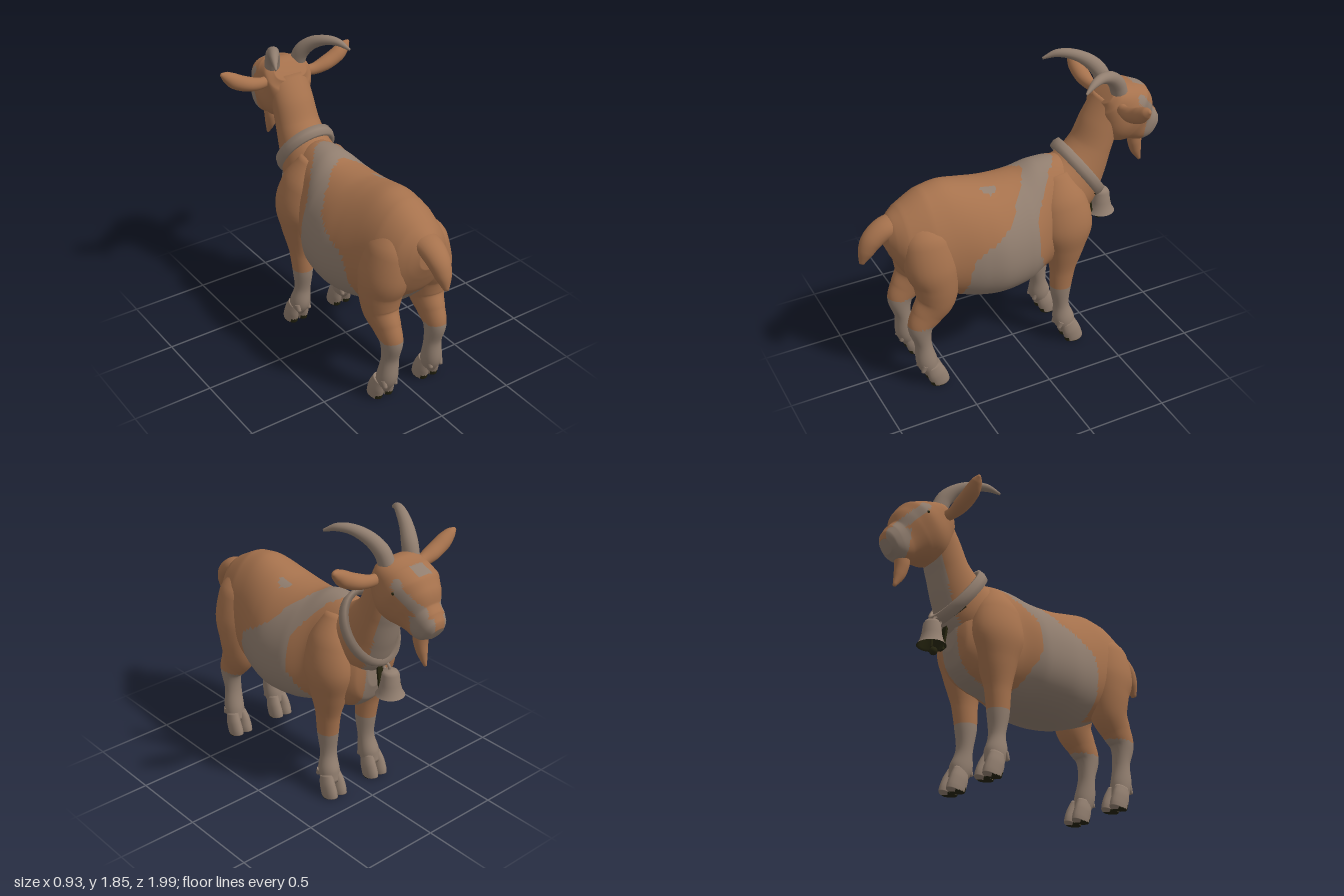
import * as THREE from 'three';

const mat = (name, color) => {
  const m = new THREE.MeshStandardMaterial({ color });
  m.name = name;
  return m;
};

// Piecewise linear lookup in [[key, value], ...]
function lookup(table, k) {
  if (k <= table[0][0]) return table[0][1];
  for (let i = 1; i < table.length; i++) {
    const [a, va] = table[i - 1], [b, vb] = table[i];
    if (k <= b) return va + (vb - va) * (k - a) / (b - a);
  }
  return table[table.length - 1][1];
}

// Distance in the (z, y) plane from p to the segment a-b
function segDist(p, az, ay, bz, by) {
  const dz = bz - az, dy = by - ay;
  const t = Math.min(1, Math.max(0, ((p.z - az) * dz + (p.y - ay) * dy) / (dz * dz + dy * dy)));
  return Math.hypot(p.z - az - t * dz, p.y - ay - t * dy);
}

// Smooth closed skin through stations [x, y, z, lateral radius, other radius].
// pick(centroid) returns the material index of each face, egg widens one half of
// the section, power below 1 squares it off, axis keeps all sections parallel.
function loft(name, stations, materials, { pick = () => 0, sides = 24, steps = 6, egg = 0, power = 1, axis = null, side = new THREE.Vector3(1, 0, 0) } = {}) {
  const path = new THREE.CatmullRomCurve3(stations.map(s => new THREE.Vector3(s[0], s[1], s[2])));
  const radii = new THREE.CatmullRomCurve3(stations.map(s => new THREE.Vector3(s[3], s[4], 0)));
  const n = (stations.length - 1) * steps;
  const pos = [], idx = materials.map(() => []);
  const soft = v => Math.sign(v) * Math.abs(v) ** power;
  for (let i = -1; i <= n + 1; i++) {
    const t = Math.min(1, Math.max(0, i / n));
    const c = path.getPoint(t), r = radii.getPoint(t);
    if (i < 0 || i > n) r.set(0, 0, 0);
    const T = axis || path.getTangent(t);
    const X = side.clone().addScaledVector(T, -side.dot(T)).normalize();
    const N = new THREE.Vector3().crossVectors(T, X);
    for (let j = 0; j < sides; j++) {
      const a = j / sides * Math.PI * 2;
      const u = soft(Math.cos(a)) * (1 + egg * Math.sin(a)), v = soft(Math.sin(a));
      const p = c.clone().addScaledVector(X, u * r.x).addScaledVector(N, v * r.y);
      pos.push(p.x, Math.max(0, p.y), p.z);
    }
  }
  const at = k => new THREE.Vector3().fromArray(pos, k * 3);
  const face = (a, b, c) => {
    const mid = at(a).add(at(b)).add(at(c)).divideScalar(3);
    idx[pick(mid)].push(a, b, c);
  };
  for (let i = 0; i < n + 2; i++) {
    for (let j = 0; j < sides; j++) {
      const a = i * sides + j, b = i * sides + (j + 1) % sides;
      face(a, b, a + sides);
      face(b, b + sides, a + sides);
    }
  }
  const g = new THREE.BufferGeometry();
  g.setAttribute('position', new THREE.Float32BufferAttribute(pos, 3));
  g.setIndex(idx.flat());
  let start = 0;
  idx.forEach((list, m) => { g.addGroup(start, list.length, m); start += list.length; });
  g.computeVertexNormals();
  const mesh = new THREE.Mesh(g, materials);
  mesh.name = name;
  return mesh;
}

export function createModel() {
  const model = new THREE.Group();
  model.name = 'goat';
  const brown = mat('brown coat', 0xa6724d);
  const grey = mat('taupe grey', 0x917e6f);
  const dark = mat('dark', 0x25240f);
  const coat = [brown, grey];

  // Flank patch limits: z of the front and rear edge by height
  const patchFront = [[0.5, -0.17], [0.62, -0.12], [0.8, -0.04], [0.95, -0.03], [1.05, -0.05], [1.15, -0.12], [1.24, -0.19], [1.29, -0.28]];
  const patchRear = [[0.5, 0.45], [0.8, 0.41], [0.9, 0.38], [0.98, 0.24], [1.05, 0.14], [1.15, 0.07], [1.24, -0.03], [1.29, -0.12]];
  const bodyPick = p => {
    const patch = p.z > lookup(patchFront, p.y) && p.z < lookup(patchRear, p.y);
    const chest = p.z < -0.15 && Math.abs(p.x) < 0.075 && p.y < 1.1;
    const groin = p.z > 0.4 && Math.abs(p.x) < 0.07 && p.y < 0.73;
    const spot = p.y > 1.1 && Math.hypot(p.x - 0.1, (p.z - 0.21) * 0.6) < 0.03;
    return patch || chest || groin || spot ? 1 : 0;
  };

  // Trunk: z, top, bottom, half width
  const trunk = [
    [0.835, 1.12, 0.95, 0.07], [0.8, 1.16, 0.87, 0.125], [0.74, 1.205, 0.76, 0.19], [0.6, 1.28, 0.61, 0.245],
    [0.47, 1.3, 0.55, 0.265], [0.32, 1.27, 0.505, 0.305], [0.18, 1.24, 0.495, 0.33], [0, 1.24, 0.51, 0.31],
    [-0.14, 1.28, 0.545, 0.245], [-0.3, 1.27, 0.58, 0.215], [-0.4, 1.19, 0.62, 0.18], [-0.47, 1.1, 0.69, 0.13], [-0.505, 1.03, 0.79, 0.06],
  ].map(([z, top, bot, w]) => [0, (top + bot) / 2, z, w, (top - bot) / 2]);
  model.add(loft('trunk', trunk, coat, { pick: bodyPick, sides: 72, steps: 8, egg: 0.17, power: 0.95, axis: new THREE.Vector3(0, 0, -1) }));

  // Neck with pale throat
  model.add(loft('neck', [
    [0, 0.98, -0.26, 0.19, 0.22], [0, 1.07, -0.37, 0.18, 0.22], [0, 1.17, -0.455, 0.155, 0.175],
    [0, 1.3, -0.53, 0.14, 0.13], [0, 1.43, -0.58, 0.135, 0.115], [0, 1.58, -0.645, 0.13, 0.085],
  ], coat, {
    sides: 48, steps: 8,
    pick: p => Math.abs(p.x) < 0.1 && p.z < -0.47 - (p.y - 1) * 0.4 ? 1 : 0,
  }));

  // Head, running from the poll down to the muzzle
  model.add(loft('head', [
    [0, 1.63, -0.595, 0.11, 0.06], [0, 1.605, -0.625, 0.155, 0.115], [0, 1.555, -0.67, 0.166, 0.165], [0, 1.485, -0.735, 0.172, 0.2],
    [0, 1.43, -0.8, 0.14, 0.18], [0, 1.38, -0.86, 0.102, 0.13], [0, 1.35, -0.91, 0.092, 0.112],
    [0, 1.33, -0.945, 0.076, 0.085], [0, 1.315, -0.967, 0.045, 0.045],
  ], coat, {
    sides: 56, steps: 8, power: 0.85,
    pick: p => {
      const x = Math.abs(p.x);
      const muzzle = p.z < -0.86 && p.y < 1.42 && (x > 0.035 || p.y < 1.34);
      const stripe = x > 0.05 && segDist(p, -0.79, 1.59, -0.93, 1.43) < 0.028;
      const spot = x < 0.045 && Math.hypot(p.z + 0.83, p.y - 1.655) < 0.045;
      return muzzle || stripe || spot ? 1 : 0;
    },
  }));

  // Beard and tail
  model.add(loft('beard', [
    [0, 1.3, -0.85, 0.045, 0.05], [0, 1.23, -0.85, 0.042, 0.045], [0, 1.16, -0.865, 0.03, 0.035], [0, 1.085, -0.895, 0.008, 0.01],
  ], coat));
  model.add(loft('tail', [
    [0, 1.1, 0.7, 0.09, 0.06], [0, 1.085, 0.83, 0.08, 0.065], [0, 1.03, 0.91, 0.068, 0.062], [0, 0.96, 0.953, 0.048, 0.048], [0, 0.885, 0.983, 0.013, 0.016],
  ], coat));

  for (const s of [1, -1]) {
    const label = s > 0 ? 'right' : 'left';
    const legPick = limit => p => (p.y < limit ? 1 : 0);

    // Hind leg with thigh and hock
    model.add(loft(label + 'HindLeg', [
      [s * 0.08, 1.15, 0.6, 0.05, 0.08], [s * 0.12, 1.02, 0.61, 0.125, 0.16], [s * 0.15, 0.86, 0.605, 0.14, 0.17], [s * 0.162, 0.73, 0.59, 0.128, 0.14],
      [s * 0.165, 0.61, 0.6, 0.105, 0.122], [s * 0.162, 0.52, 0.655, 0.078, 0.105], [s * 0.16, 0.44, 0.7, 0.065, 0.083], [s * 0.158, 0.3, 0.69, 0.056, 0.052],
      [s * 0.165, 0.17, 0.675, 0.064, 0.066], [s * 0.17, 0.08, 0.645, 0.055, 0.05],
    ], coat, { pick: legPick(0.45) }));

    // Front leg with shoulder and knee
    model.add(loft(label + 'FrontLeg', [
      [s * 0.09, 1.2, -0.25, 0.05, 0.07], [s * 0.135, 1.04, -0.26, 0.115, 0.155], [s * 0.165, 0.88, -0.275, 0.13, 0.175], [s * 0.165, 0.72, -0.275, 0.105, 0.13],
      [s * 0.16, 0.55, -0.265, 0.072, 0.083], [s * 0.155, 0.4, -0.258, 0.063, 0.068], [s * 0.155, 0.27, -0.265, 0.053, 0.05],
      [s * 0.165, 0.16, -0.28, 0.064, 0.07], [s * 0.17, 0.08, -0.31, 0.055, 0.05],
    ], coat, { pick: legPick(0.42) }));

    // Cloven hooves with dark soles and heels, and dewclaws behind
    for (const [end, z] of [['Hind', 0.65], ['Front', -0.295]]) {
      for (const o of [-0.037, 0.037]) {
        model.add(loft(label + end + 'Toe', [
          [s * 0.17 + o * 0.8, 0.14, z, 0.032, 0.05], [s * 0.17 + o, 0.08, z - 0.02, 0.038, 0.06],
          [s * 0.17 + o, 0.03, z - 0.037, 0.04, 0.062], [s * 0.17 + o, 0, z - 0.045, 0.038, 0.06],
        ], [grey, dark], { pick: p => (p.y < 0.004 || (p.y < 0.03 && p.z > z + 0.005) ? 1 : 0), sides: 16 }));
        model.add(loft(label + end + 'Dewclaw', [
          [s * 0.17 + o, 0.16, z + 0.05, 0.02, 0.02], [s * 0.17 + o, 0.115, z + 0.07, 0.012, 0.012],
        ], [grey], { sides: 10 }));
      }
    }

    // Ear: a flattened leaf reaching out and up
    model.add(loft(label + 'Ear', [
      [s * 0.12, 1.575, -0.65, 0.03, 0.03], [s * 0.2, 1.573, -0.638, 0.035, 0.037], [s * 0.29, 1.597, -0.632, 0.05, 0.046],
      [s * 0.37, 1.635, -0.63, 0.048, 0.048], [s * 0.43, 1.68, -0.635, 0.032, 0.032], [s * 0.46, 1.7, -0.64, 0.008, 0.01],
    ], coat, { side: new THREE.Vector3(0, 0, 1) }));

    // Horn sweeping back and outward
    model.add(loft(label + 'Horn', [
      [s * 0.09, 1.64, -0.665, 0.046, 0.052], [s * 0.103, 1.715, -0.635, 0.046, 0.05], [s * 0.135, 1.78, -0.575, 0.04, 0.042],
      [s * 0.18, 1.82, -0.49, 0.033, 0.032], [s * 0.225, 1.823, -0.41, 0.024, 0.024], [s * 0.262, 1.79, -0.335, 0.006, 0.008],
    ], [grey], { sides: 16 }));

    // Eye
    const eye = new THREE.Mesh(new THREE.SphereGeometry(0.01, 12, 8), dark);
    eye.name = label + 'Eye';
    eye.position.set(s * 0.16, 1.54, -0.785);
    model.add(eye);
  }

  const lathe = (pts, ...arc) => new THREE.LatheGeometry(pts.map(([r, y]) => new THREE.Vector2(r, y)), 32, ...arc);
  const add = (group, name, geometry, material, y = 0, z = 0) => {
    const mesh = new THREE.Mesh(geometry, material);
    mesh.name = name;
    mesh.position.set(0, y, z);
    group.add(mesh);
    return mesh;
  };

  // Collar: a flat band around the neck, with a dark lining showing under its front
  const collar = new THREE.Group();
  collar.name = 'collar';
  add(collar, 'collarBand', lathe([[0.94, -0.035], [1.06, -0.035], [1.1, 0], [1.06, 0.035], [0.94, 0.035], [0.94, -0.035]]), grey);
  add(collar, 'collarLining', lathe([[0.85, -0.035], [0.99, -0.058], [1.05, -0.03]], Math.PI - 0.95, 1.9), dark);
  collar.scale.set(0.172, 1, 0.215);
  collar.rotation.x = -0.95;
  collar.position.set(0, 1.15, -0.445);
  model.add(collar);

  // Bell with strap and clapper
  const bell = new THREE.Group();
  bell.name = 'bell';
  add(bell, 'bellShell', lathe([[0.088, 0], [0.072, 0.025], [0.06, 0.07], [0.052, 0.135], [0.04, 0.155], [0.001, 0.16]]), grey);
  add(bell, 'bellInside', lathe([[0, 0.145], [0.035, 0.14], [0.055, 0.1], [0.074, 0.01], [0.088, 0]]), dark);
  add(bell, 'clapper', new THREE.SphereGeometry(0.025, 14, 10), dark, -0.03, 0.015);
  add(bell, 'clapperRod', new THREE.CylinderGeometry(0.008, 0.008, 0.14, 8), dark, 0.06);
  add(bell, 'hanger', new THREE.TorusGeometry(0.024, 0.009, 8, 18), grey, 0.165, 0.035).rotation.y = Math.PI / 2;
  add(bell, 'strap', new THREE.BoxGeometry(0.04, 0.16, 0.014), dark, 0.07, 0.083).rotation.x = 0.15;
  bell.position.set(0, 0.785, -0.625);
  model.add(bell);

  return model;
}
